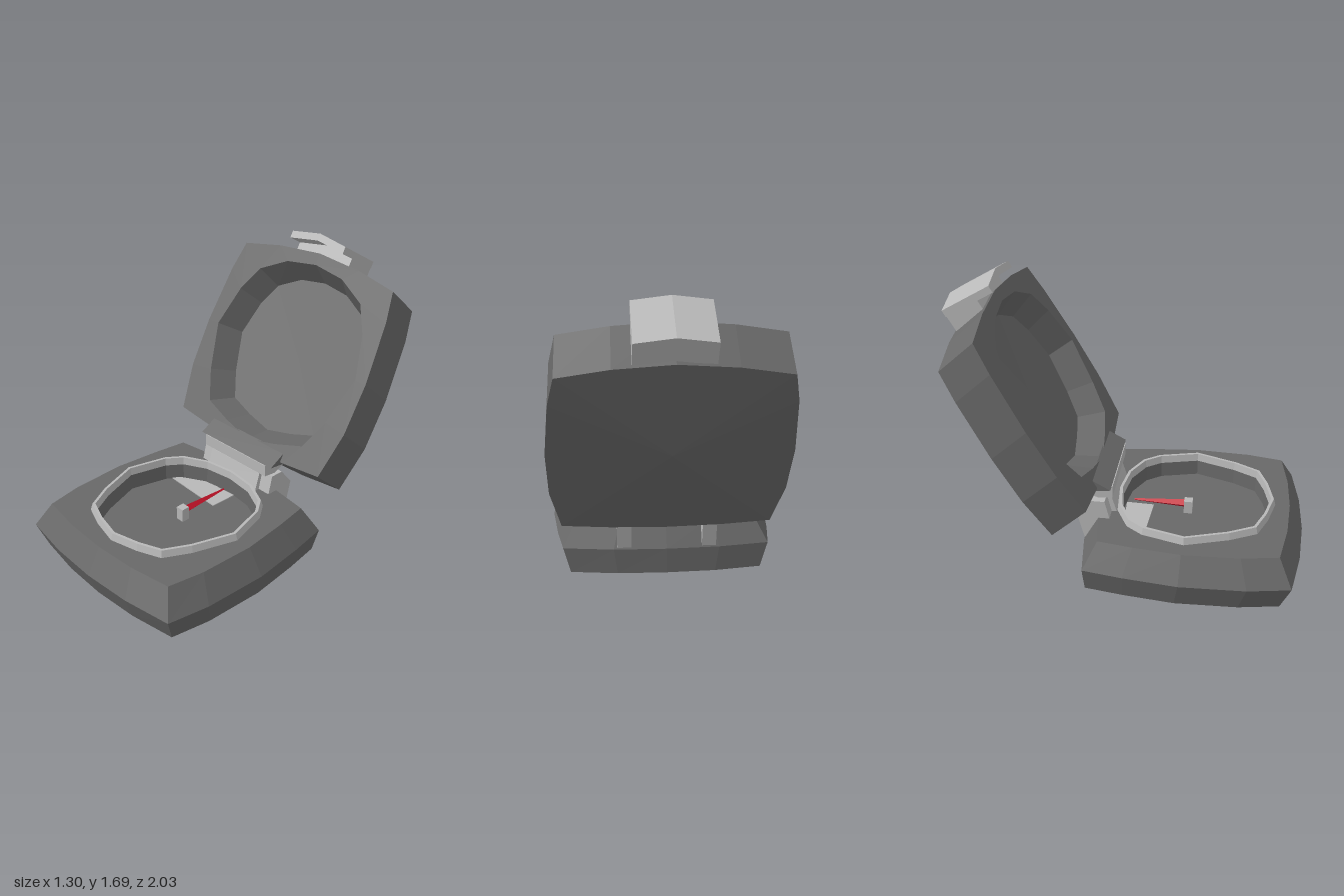
import * as THREE from 'three';

const mat = (name, color) => {
  const m = new THREE.MeshStandardMaterial({ color, flatShading: true });
  m.name = name;
  return m;
};

// Mirror a right-hand half outline (bottom centre to top centre) into a closed counter-clockwise ring
const mirror = (half) => half.concat(half.slice(1, -1).reverse().map(([x, v]) => [-x, v]));

// Scale, shift and lift an outline to depth n
const ring = (pts, sx, sv, n, dx = 0, dv = 0) =>
  pts.map(([x, v]) => new THREE.Vector3(x * sx + dx, v * sv + dv, n));

// Skin a series of rings, facing outward
function loft(rings) {
  const pos = [];
  for (let i = 0; i < rings.length - 1; i++) {
    const a = rings[i], b = rings[i + 1];
    for (let j = 0; j < a.length; j++) {
      const k = (j + 1) % a.length;
      for (const p of [a[j], a[k], b[k], a[j], b[k], b[j]]) pos.push(p.x, p.y, p.z);
    }
  }
  const g = new THREE.BufferGeometry();
  g.setAttribute('position', new THREE.Float32BufferAttribute(pos, 3));
  g.computeVertexNormals();
  return g;
}

const extrude = (pts, depth) => new THREE.ExtrudeGeometry(
  new THREE.Shape(pts.map(([x, y]) => new THREE.Vector2(x, y))), { depth, bevelEnabled: false });

// Extrude a [z, y] side profile from x0 to x1
const sideways = (pts, x0, x1) =>
  extrude(pts.map(([z, y]) => [-z, y]), x1 - x0).rotateY(Math.PI / 2).translate(x0, 0, 0);

export function createModel() {
  const model = new THREE.Group();
  model.name = 'pocketCompass';
  const dark = mat('dark grey case', 0x686868);
  const light = mat('light grey metal', 0xb8b8b8);
  const red = mat('red needle', 0xc8142a);
  const add = (parent, name, geometry, material) => {
    const mesh = new THREE.Mesh(geometry, material);
    mesh.name = name;
    parent.add(mesh);
    return mesh;
  };

  const baseOutline = mirror([[0, -0.63], [0.3, -0.615], [0.59, -0.57], [0.635, -0.33], [0.652, 0.04],
    [0.62, 0.35], [0.585, 0.58], [0.3, 0.62], [0, 0.63]]);
  const lidOutline = mirror([[0, -0.61], [0.3, -0.6], [0.565, -0.575], [0.62, -0.3], [0.628, 0],
    [0.6, 0.35], [0.565, 0.525], [0.3, 0.575], [0, 0.6]]);
  const dialOutline = mirror([[0, -0.465], [0.17, -0.425], [0.31, -0.37], [0.39, -0.22], [0.475, 0.03],
    [0.41, 0.27], [0.34, 0.365], [0.19, 0.44], [0, 0.465]]);
  const recessOutline = mirror([[0, -0.565], [0.2, -0.52], [0.385, -0.46], [0.47, -0.28], [0.55, 0],
    [0.48, 0.25], [0.39, 0.405], [0.21, 0.5], [0, 0.53]]);

  // Base, lying flat, with a round well in the top
  const base = new THREE.Group();
  base.name = 'base';
  base.rotation.x = -Math.PI / 2;
  base.position.z = 0.37;
  model.add(base);
  add(base, 'baseShell', loft([
    ring(baseOutline, 0, 0, 0, 0, 0.03),
    ring(baseOutline, 0.93, 0.945, 0.03, 0, 0.025),
    ring(baseOutline, 1, 1, 0.18),
    ring(baseOutline, 0.865, 0.87, 0.33),
    ring(dialOutline, 0.93, 0.93, 0.33),
    ring(dialOutline, 0.92, 0.92, 0.23),
    ring(dialOutline, 0, 0, 0.23),
  ]), dark);
  add(base, 'dialRim', loft([
    ring(dialOutline, 1, 1, 0.328),
    ring(dialOutline, 0.975, 0.975, 0.37),
    ring(dialOutline, 0.94, 0.94, 0.37),
    ring(dialOutline, 0.925, 0.925, 0.325),
  ]), light);
  add(base, 'dialPlate', extrude([[-0.37, 0.28], [0.04, 0.255], [0.045, 0.42], [-0.1, 0.41],
    [-0.18, 0.4], [-0.31, 0.33]], 0.006).translate(0, 0, 0.23), light);

  // Pivot and needle
  add(model, 'needlePivot', new THREE.BoxGeometry(0.05, 0.08, 0.05), light).position.set(0.01, 0.27, 0.325);
  const needle = add(model, 'needle', new THREE.CylinderGeometry(0.006, 0.026, 0.3, 4), red);
  needle.rotation.x = -Math.PI / 2;
  needle.position.set(0.01, 0.285, 0.15);

  // Lid, leaning back, with a tapered recess in its inner face
  const lid = new THREE.Group();
  lid.name = 'lid';
  lid.rotation.x = -Math.PI / 6;
  lid.position.set(0.012, 1.05, -0.47);
  model.add(lid);
  add(lid, 'lidShell', loft([
    ring(lidOutline, 0, 0, -0.32),
    ring(lidOutline, 1.01, 1, -0.25, 0, -0.05),
    ring(lidOutline, 1, 1, 0),
    ring(recessOutline, 1, 1, 0, 0.005),
    ring(recessOutline, 0.85, 0.86, -0.15, 0.005),
    ring(recessOutline, 0, 0, -0.165),
  ]), dark);

  // Clasp on the lid's top edge, slightly peaked in the middle
  const chevron = (low, high, n0, n1) => extrude([[-0.2, low], [0, low + 0.03], [0.2, low],
    [0.2, high], [0, high + 0.03], [-0.2, high]], n1 - n0).translate(0.006, 0, n0);
  add(lid, 'claspPlate', chevron(0.63, 0.672, -0.24, 0.07), light);
  add(lid, 'claspBlock', chevron(0.53, 0.632, -0.235, -0.03), light);

  // Hinge: lid tab, central barrel and two side brackets
  add(model, 'hingeTabTop', sideways([[-0.205, 0.58], [-0.095, 0.52], [-0.25, 0.5]], -0.28, 0.3), dark);
  add(model, 'hingeTab', sideways([[-0.09, 0.52], [-0.09, 0.45], [-0.17, 0.44], [-0.25, 0.47],
    [-0.22, 0.52]], -0.24, 0.26), light);
  add(model, 'hingeBarrel', sideways([[-0.07, 0.32], [-0.105, 0.435], [-0.2, 0.45], [-0.23, 0.32]],
    -0.2, 0.2), light);
  for (const s of [-1, 1]) {
    add(model, 'hingeBracket', sideways([[-0.1, 0.32], [-0.13, 0.44], [-0.21, 0.44], [-0.29, 0.34],
      [-0.25, 0.19], [-0.2, 0.2]], s * 0.24 - 0.04, s * 0.24 + 0.04), light);
  }
  return model;
}
